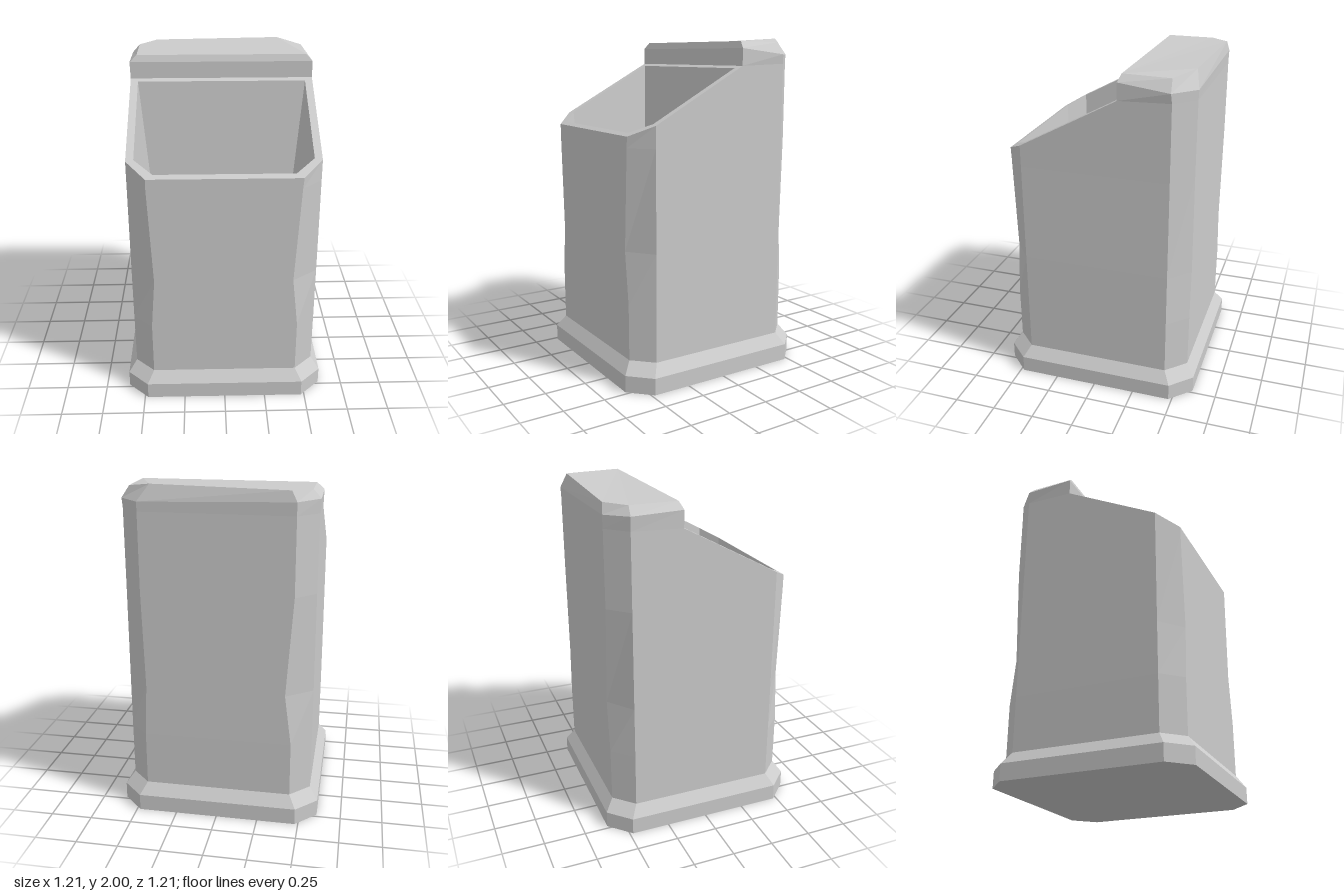
import * as THREE from 'three';

// Joins two closed rings (counter-clockwise from above) with quads
function loft(out, a, b) {
  a.forEach((p, i) => {
    const j = (i + 1) % a.length;
    out.push(...p, ...a[j], ...b[j], ...p, ...b[j], ...b[i]);
  });
}

// Fills a ring with a fan
function cap(out, ring) {
  for (let i = 1; i < ring.length - 1; i++) out.push(...ring[0], ...ring[i], ...ring[i + 1]);
}

function makeMesh(name, positions, material) {
  const geometry = new THREE.BufferGeometry();
  geometry.setAttribute('position', new THREE.Float32BufferAttribute(positions, 3));
  geometry.computeVertexNormals();
  const mesh = new THREE.Mesh(geometry, material);
  mesh.name = name;
  return mesh;
}

// Height of the sloping mouth at depth z
const slope = (z) => 1.84 - 0.54 * (z + 0.14);

// Chamfered square; h = half width, s = start of chamfer,
// worn = chamfer corners on front +x, back +x, back -x, front -x
function section(y, h, s, worn = [s, s, s, s]) {
  const height = typeof y === 'function' ? y : () => y;
  return [
    [-worn[3], h], [worn[0], h], [h, s], [h, -0.14], [h, -s],
    [worn[1], -h], [-worn[2], -h], [-h, -s], [-h, -0.14], [-h, s],
  ].map(([x, z]) => [x, height(z), z]);
}

export function createModel() {
  const group = new THREE.Group();
  const material = new THREE.MeshStandardMaterial({ color: 0xcccccc, flatShading: true });

  // Plinth with bevelled upper edge
  const plinth = [];
  const foot = section(0, 0.605, 0.48);
  const step = section(0.1, 0.605, 0.48);
  const bodyStart = section(0.17, 0.555, 0.44);
  loft(plinth, foot, step);
  loft(plinth, step, bodyStart);
  cap(plinth, [...foot].reverse());
  group.add(makeMesh('plinth', plinth, material));

  // Body walls with worn chamfers and a sloping top
  const body = [];
  const bodyTop = section((z) => (z < -0.2 ? 1.85 : slope(z)), 0.555, 0.44);
  const levels = [
    bodyStart,
    section(0.5, 0.556, 0.44),
    section(0.81, 0.556, 0.44, [0.405, 0.425, 0.4, 0.415]),
    section(1.4, 0.555, 0.44, [0.435, 0.44, 0.44, 0.44]),
    bodyTop,
  ];
  for (let i = 0; i < levels.length - 1; i++) loft(body, levels[i], levels[i + 1]);
  group.add(makeMesh('body', body, material));

  // Rim around the mouth
  const rim = [];
  const rimOuter = [0, 1, 2, 3, 8, 9].map((i) => bodyTop[i]);
  const rimInner = [[-0.4, 0.525], [0.4, 0.525], [0.51, 0.43], [0.51, -0.115], [-0.51, -0.115], [-0.51, 0.43]]
    .map(([x, z]) => [x, slope(z), z]);
  loft(rim, rimOuter, rimInner);
  group.add(makeMesh('rim', rim, material));

  // Tapered inner bin with a sloping floor
  const bin = [];
  const floor = rimInner.map(([x, , z]) => {
    const fz = 0.205 + (z - 0.205) * 0.86;
    return [x * 0.86, slope(fz) - 0.81, fz];
  });
  loft(bin, rimInner, floor);
  cap(bin, floor);
  group.add(makeMesh('innerBin', bin, material));

  // Hood behind the mouth, with an uneven bevelled top
  const hood = [];
  const hoodEdge = [
    [0.555, 1.94, -0.14], [0.562, 1.905, -0.435], [0.44, 1.905, -0.557],
    [-0.44, 1.925, -0.557], [-0.56, 1.93, -0.44], [-0.558, 1.94, -0.14],
  ];
  const hoodTop = [
    [0.515, 1.98, -0.155], [0.515, 1.975, -0.43], [0.37, 2, -0.53],
    [-0.41, 1.985, -0.545], [-0.515, 1.98, -0.435], [-0.515, 1.98, -0.155],
  ];
  loft(hood, bodyTop.slice(3, 9), hoodEdge);
  loft(hood, hoodEdge, hoodTop);
  cap(hood, hoodTop);
  group.add(makeMesh('hood', hood, material));

  return group;
}
